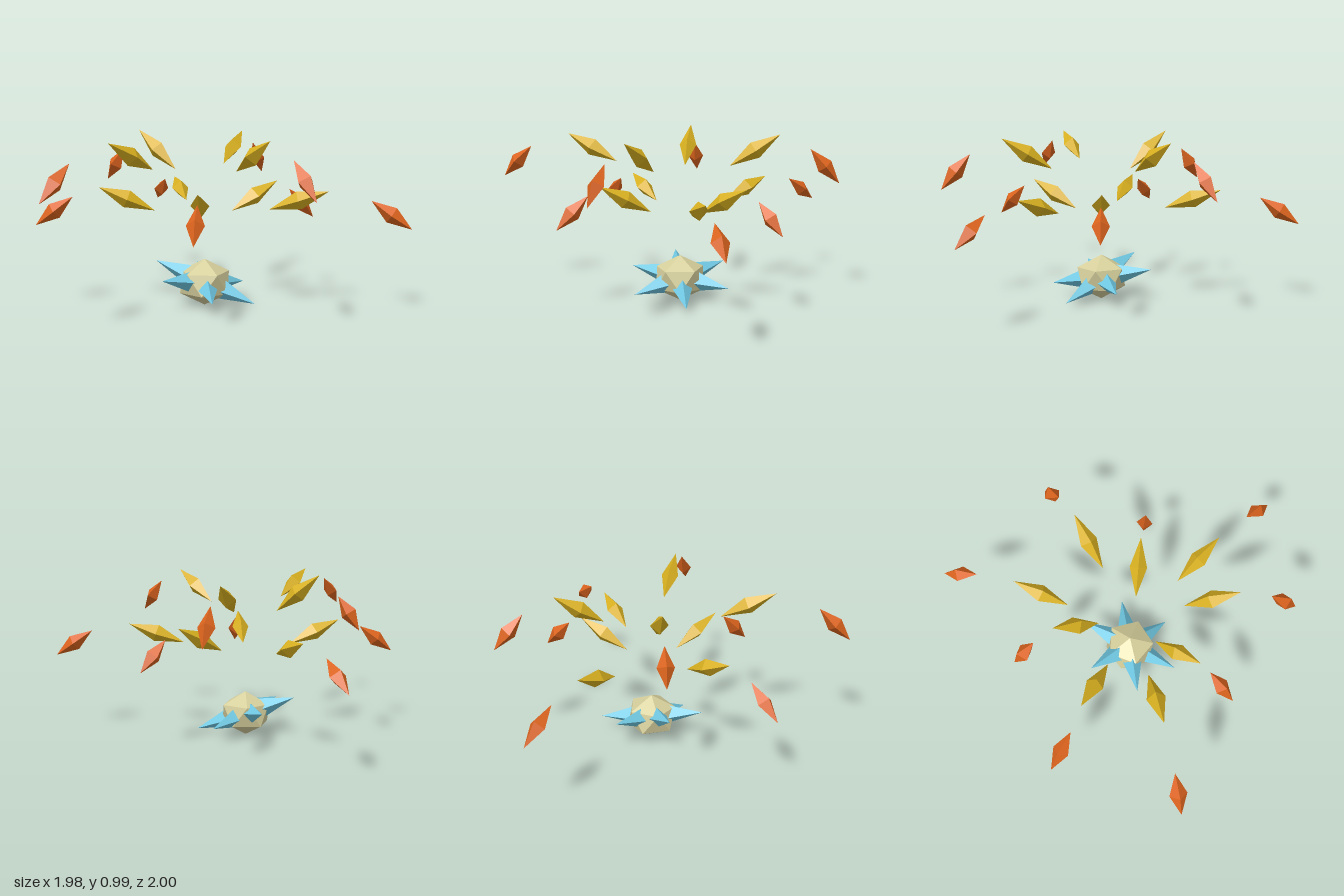
import * as THREE from 'three';

const material = (name, color) => {
  const m = new THREE.MeshStandardMaterial({ color, flatShading: true });
  m.name = name;
  return m;
};

// Turns a mesh so its +y axis runs from a to b, with its x axis kept level
function align(mesh, a, b) {
  const dir = b.clone().sub(a).normalize();
  const side = new THREE.Vector3().crossVectors(dir, new THREE.Vector3(0, 1, 0)).normalize();
  const normal = new THREE.Vector3().crossVectors(side, dir);
  mesh.quaternion.setFromRotationMatrix(new THREE.Matrix4().makeBasis(side, dir, normal));
  mesh.position.copy(a).lerp(b, 0.5);
  return mesh;
}

export function createModel() {
  const model = new THREE.Group();
  model.name = 'crystalBurst';
  const stone = material('paleStone', 0xd6cf9c);
  const blue = material('skyBlue', 0x70c8e2);
  const gold = material('gold', 0xd8b020);
  const orange = material('orange', 0xdc641e);
  const centre = new THREE.Vector3(-0.05, 0.134, 0.153);

  // Faceted core, one corner straight up
  const coreGeo = new THREE.IcosahedronGeometry(1, 0);
  coreGeo.rotateX(-Math.atan2((1 + Math.sqrt(5)) / 2, 1));
  coreGeo.rotateY(Math.PI / 2);
  coreGeo.scale(0.16, 0.134, 0.16);
  const core = new THREE.Mesh(coreGeo, stone);
  core.name = 'core';
  core.position.copy(centre);
  model.add(core);

  // Tilted ring of six spikes, given by their tips
  const spikes = new THREE.Group();
  spikes.name = 'spikeRing';
  [
    [-0.03, 0.195, -0.155], [0.215, 0.095, 0.0], [0.21, 0.025, 0.3],
    [-0.07, 0.075, 0.46], [-0.32, 0.18, 0.305], [-0.305, 0.24, 0.0],
  ].forEach((p) => {
    const tip = new THREE.Vector3(...p);
    const base = centre.clone().lerp(tip, 0.24);
    const geo = new THREE.ConeGeometry(0.068, base.distanceTo(tip), 4);
    const spike = align(new THREE.Mesh(geo, blue), base, tip);
    spike.name = 'spike';
    spikes.add(spike);
  });
  model.add(spikes);

  // Floating shards: inner tip x, y, z then outer tip x, y, z
  const shardGeo = new THREE.OctahedronGeometry(1, 0);
  const addShards = (name, mat, radius, rows) => {
    const group = new THREE.Group();
    group.name = name + 's';
    rows.forEach((r) => {
      const a = new THREE.Vector3(r[0], r[1], r[2]);
      const b = new THREE.Vector3(r[3], r[4], r[5]);
      const shard = align(new THREE.Mesh(shardGeo, mat), a, b);
      shard.scale.set(radius, a.distanceTo(b) / 2, radius);
      shard.name = name;
      group.add(shard);
    });
    model.add(group);
  };

  // Inner gold shards rise outwards
  addShards('goldShard', gold, 0.051, [
    [-0.085, 0.56, -0.225, -0.1, 0.67, -0.55],
    [0.115, 0.79, -0.085, 0.285, 0.97, -0.32],
    [0.115, 0.535, 0.12, 0.41, 0.695, 0.035],
    [0.285, 0.565, 0.315, 0.585, 0.675, 0.455],
    [-0.1, 0.535, 0.32, -0.18, 0.695, 0.61],
    [-0.375, 0.805, 0.37, -0.63, 0.96, 0.545],
    [-0.33, 0.55, 0.12, -0.64, 0.685, 0.085],
    [0.07, 0.79, 0.415, 0.185, 0.97, 0.68],
    [-0.19, 0.77, 0.01, -0.375, 0.99, -0.175],
  ]);

  // Outer orange shards fall outwards
  addShards('orangeShard', orange, 0.048, [
    [-0.125, 0.63, -0.775, -0.14, 0.48, -1.0],
    [0.39, 0.885, -0.46, 0.487, 0.685, -0.6],
    [0.49, 0.64, 0.02, 0.65, 0.465, -0.015],
    [0.79, 0.63, 0.56, 0.99, 0.48, 0.65],
    [0.26, 0.885, 0.845, 0.335, 0.685, 0.995],
    [-0.195, 0.65, 0.675, -0.25, 0.465, 0.85],
    [-0.835, 0.875, 0.685, -0.99, 0.69, 0.79],
    [-0.785, 0.635, 0.08, -0.99, 0.475, 0.04],
    [-0.455, 0.875, -0.26, -0.545, 0.685, -0.35],
  ]);
  return model;
}
